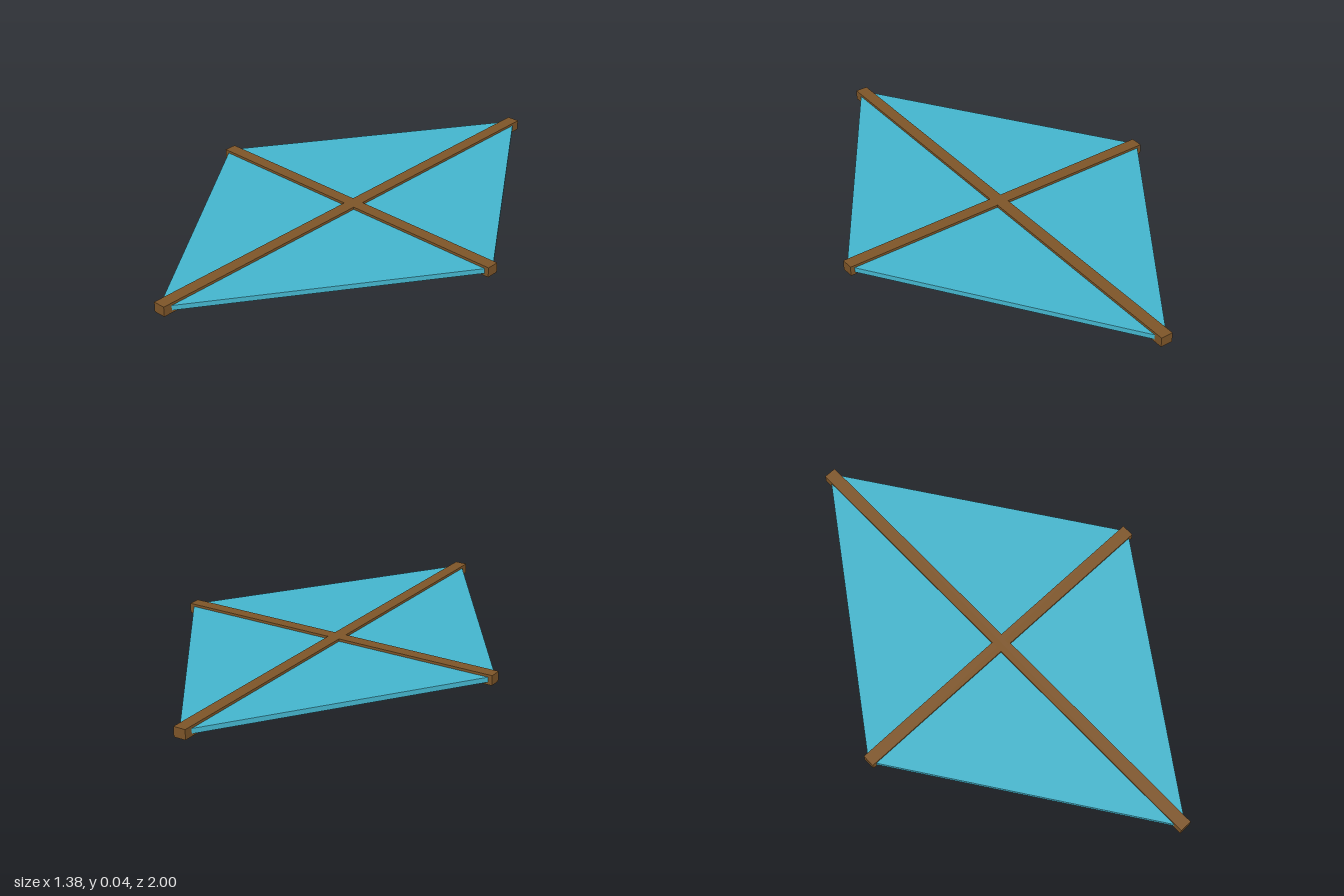
import * as THREE from 'three';

const HALF_W = 0.69, HALF_L = 1, BEAM = 0.05, HEIGHT = 0.04, SHEET = 0.02;

export function createModel() {
  const group = new THREE.Group();
  const wood = new THREE.MeshStandardMaterial({ color: 0x7d5528, flatShading: true });
  const cloth = new THREE.MeshStandardMaterial({ color: 0x44b4cc, flatShading: true });

  const add = (name, geometry, material) => {
    const mesh = new THREE.Mesh(geometry, material);
    mesh.name = name;
    mesh.position.y = HEIGHT / 2;
    group.add(mesh);
  };

  // Crossed spars
  add('longSpar', new THREE.BoxGeometry(BEAM, HEIGHT, 2 * HALF_L), wood);
  add('crossSpar', new THREE.BoxGeometry(2 * HALF_W, HEIGHT, BEAM), wood);

  // Diamond sail, a thin slab at mid height with its tips inside the spars
  const diamond = new THREE.Shape([
    new THREE.Vector2(HALF_W, 0),
    new THREE.Vector2(0, HALF_L),
    new THREE.Vector2(-HALF_W, 0),
    new THREE.Vector2(0, -HALF_L),
  ]);
  const sail = new THREE.ExtrudeGeometry(diamond, { depth: SHEET, bevelEnabled: false });
  sail.translate(0, 0, -SHEET / 2).rotateX(-Math.PI / 2);
  add('sail', sail, cloth);

  return group;
}
